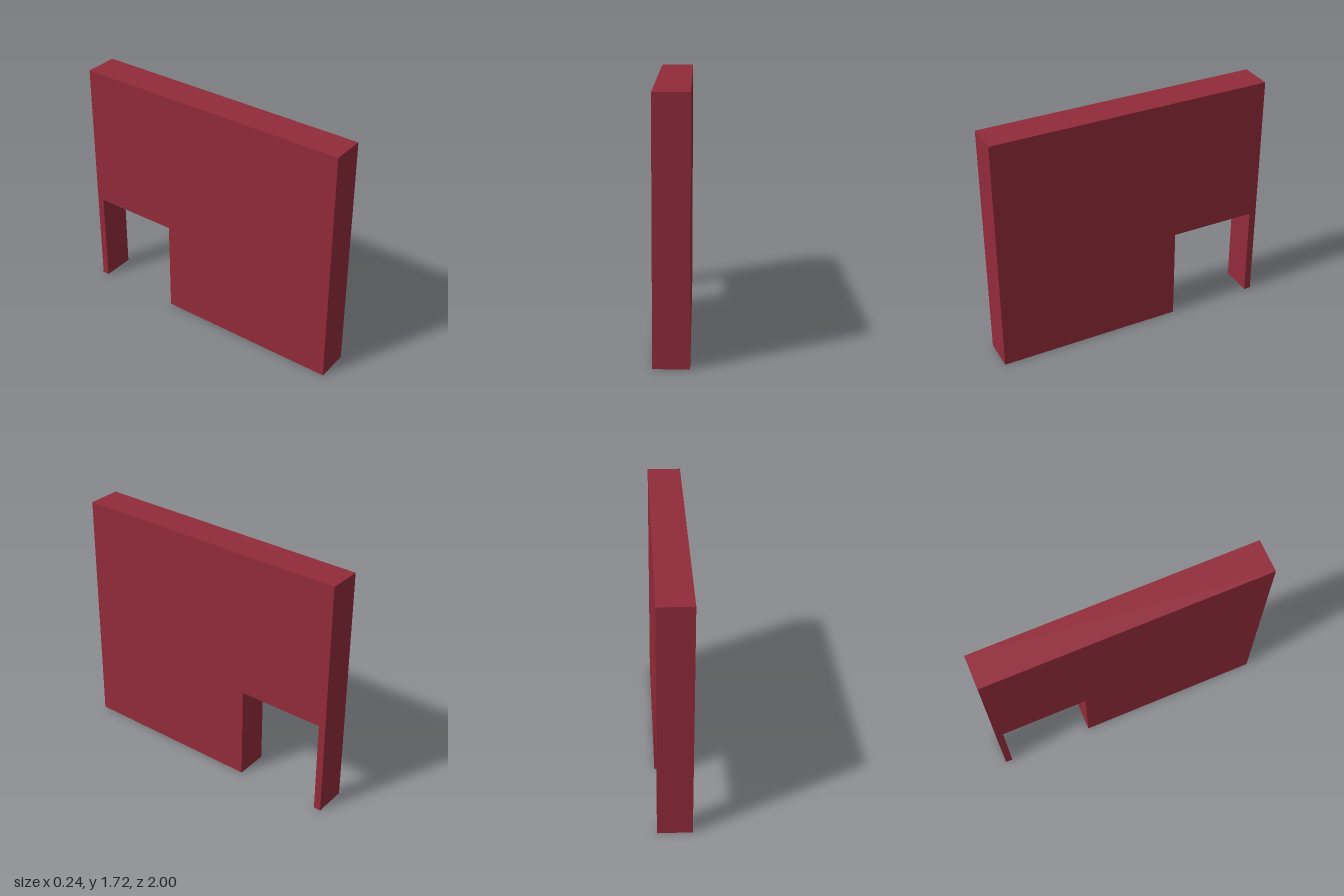
import * as THREE from 'three';

const HALF_LENGTH = 1, HEIGHT = 1.72, THICKNESS = 0.236;
const DOOR_FRONT = -0.33, DOOR_BACK = -0.95, DOOR_HEIGHT = 0.68;

export function createModel() {
  const model = new THREE.Group();
  model.name = 'wallWithDoorway';

  const paint = new THREE.MeshStandardMaterial({ color: 0x922b3a });
  paint.name = 'dark red';

  // Side outline of the wall, drawn as (z, y), with the doorway cut from the bottom edge
  const outline = new THREE.Shape([
    [-HALF_LENGTH, 0], [DOOR_BACK, 0], [DOOR_BACK, DOOR_HEIGHT],
    [DOOR_FRONT, DOOR_HEIGHT], [DOOR_FRONT, 0], [HALF_LENGTH, 0],
    [HALF_LENGTH, HEIGHT], [-HALF_LENGTH, HEIGHT],
  ].map(([z, y]) => new THREE.Vector2(z, y)));

  // Give it thickness, then turn the outline to run along z
  const geometry = new THREE.ExtrudeGeometry(outline, { depth: THICKNESS, bevelEnabled: false });
  geometry.translate(0, 0, -THICKNESS / 2);
  geometry.rotateY(-Math.PI / 2);

  const wall = new THREE.Mesh(geometry, paint);
  wall.name = 'wall';
  model.add(wall);
  return model;
}
